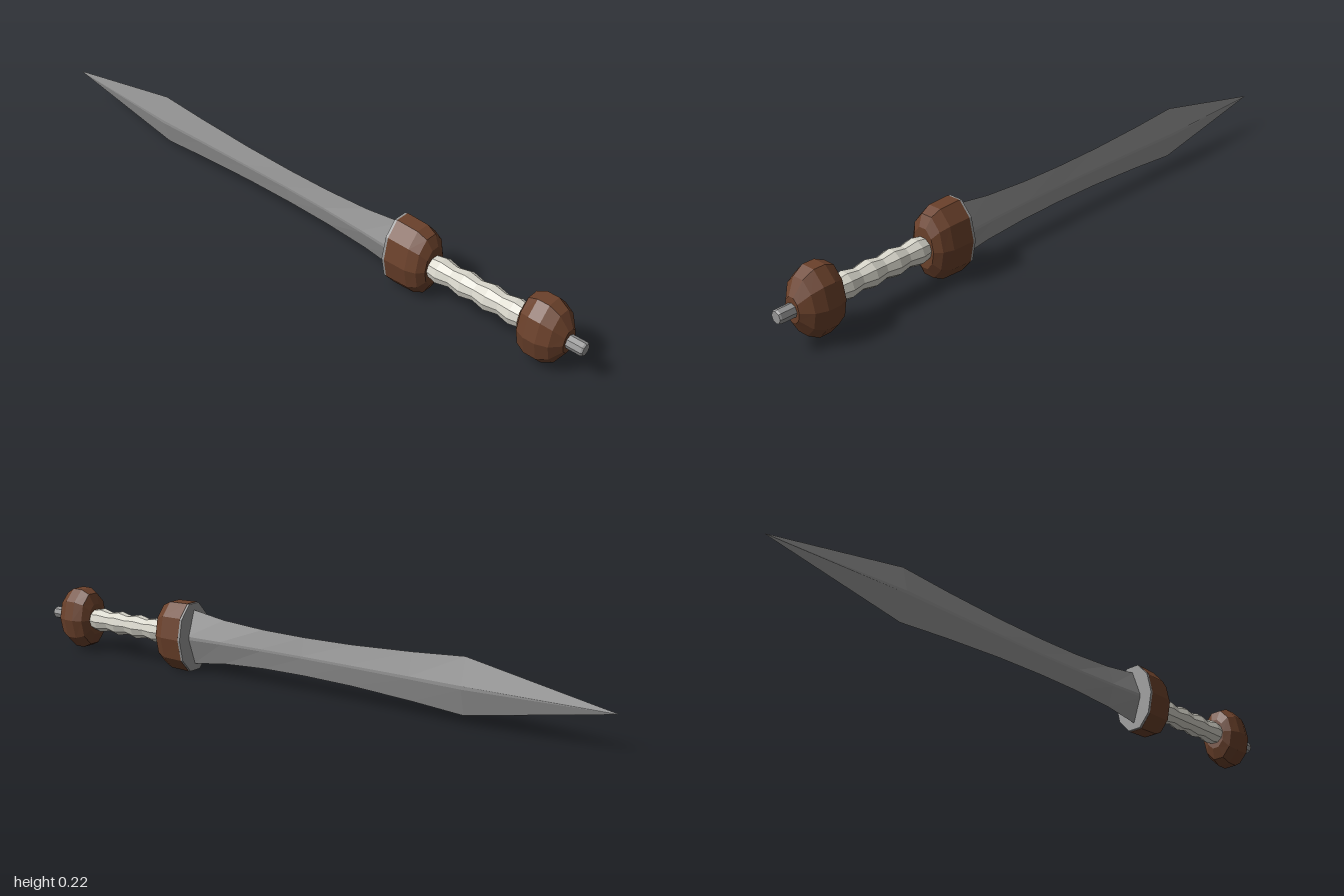
import * as THREE from 'three';

const AXIS_Y = 0.108;

// Unit polygon of [y, z] points, turned so that a corner lies on the z axis
function polygon(sides) {
  return Array.from({ length: sides }, (_, i) => {
    const a = Math.PI / 2 + (i / sides) * Math.PI * 2;
    return [Math.cos(a), Math.sin(a)];
  });
}

// Faceted loft along x; each station is [x, halfHeight, halfDepth]
function loft(name, section, stations, material) {
  const n = section.length;
  const pos = [];
  const rings = stations.map(([x, h, d]) => section.map(([y, z]) => [x, y * h, z * d]));
  const tri = (...corners) => corners.forEach((c) => pos.push(...c));
  for (let j = 0; j < n; j++) {
    const k = (j + 1) % n;
    for (let i = 0; i < rings.length - 1; i++) {
      const a = rings[i], b = rings[i + 1];
      tri(a[j], a[k], b[j]);
      tri(a[k], b[k], b[j]);
    }
    const first = rings[0], last = rings[rings.length - 1];
    tri([first[0][0], 0, 0], first[k], first[j]);
    tri([last[0][0], 0, 0], last[j], last[k]);
  }
  const geometry = new THREE.BufferGeometry();
  geometry.setAttribute('position', new THREE.Float32BufferAttribute(pos, 3));
  geometry.computeVertexNormals();
  const mesh = new THREE.Mesh(geometry, material);
  mesh.name = name;
  return mesh;
}

export function createModel() {
  const steel = new THREE.MeshStandardMaterial({ color: 0x969696 });
  steel.name = 'steel';
  const wood = new THREE.MeshStandardMaterial({ color: 0x6b412b });
  wood.name = 'brown wood';
  const bone = new THREE.MeshStandardMaterial({ color: 0xd9d7cc });
  bone.name = 'pale bone';

  const sword = new THREE.Group();
  sword.name = 'sword';
  const oval = polygon(10);

  // Waisted blade: diamond section with a narrow flat along the ridge
  const diamond = [[1, 0], [0.06, 1], [-0.06, 1], [-1, 0], [-0.06, -1], [0.06, -1]];
  sword.add(loft('blade', diamond, [
    [-1, 0.001, 0.001], [-0.565, 0.083, 0.021], [-0.4, 0.071, 0.017], [-0.2, 0.061, 0.014],
    [-0.03, 0.058, 0.012], [0.12, 0.06, 0.014], [0.27, 0.069, 0.02], [0.395, 0.087, 0.028],
  ], steel));

  // Guard with a metal plate on the blade side
  sword.add(loft('guardPlate', oval, [[0.389, 0.112, 0.072], [0.397, 0.112, 0.072]], steel));
  sword.add(loft('guard', oval, [
    [0.397, 0.1135, 0.072], [0.468, 0.111, 0.071], [0.498, 0.096, 0.06], [0.515, 0.063, 0.04],
  ], wood));

  // Grip with four finger swells
  const grip = [];
  for (let i = 0; i <= 16; i++) {
    const r = 0.035 - 0.004 * Math.cos((i / 16) * Math.PI * 8);
    grip.push([0.505 + 0.32 * (i / 16), r, r]);
  }
  sword.add(loft('grip', oval, grip, bone));

  // Rounded pommel and its end button
  sword.add(loft('pommel', oval, [
    [0.814, 0.052, 0.036], [0.828, 0.088, 0.058], [0.857, 0.102, 0.071],
    [0.893, 0.102, 0.071], [0.925, 0.083, 0.058], [0.951, 0.038, 0.028],
  ], wood));
  sword.add(loft('pommelButton', polygon(8), [
    [0.94, 0.02, 0.02], [0.995, 0.02, 0.02], [1, 0.017, 0.017],
  ], steel));

  sword.position.y = AXIS_Y;
  const model = new THREE.Group();
  model.add(sword);
  return model;
}
